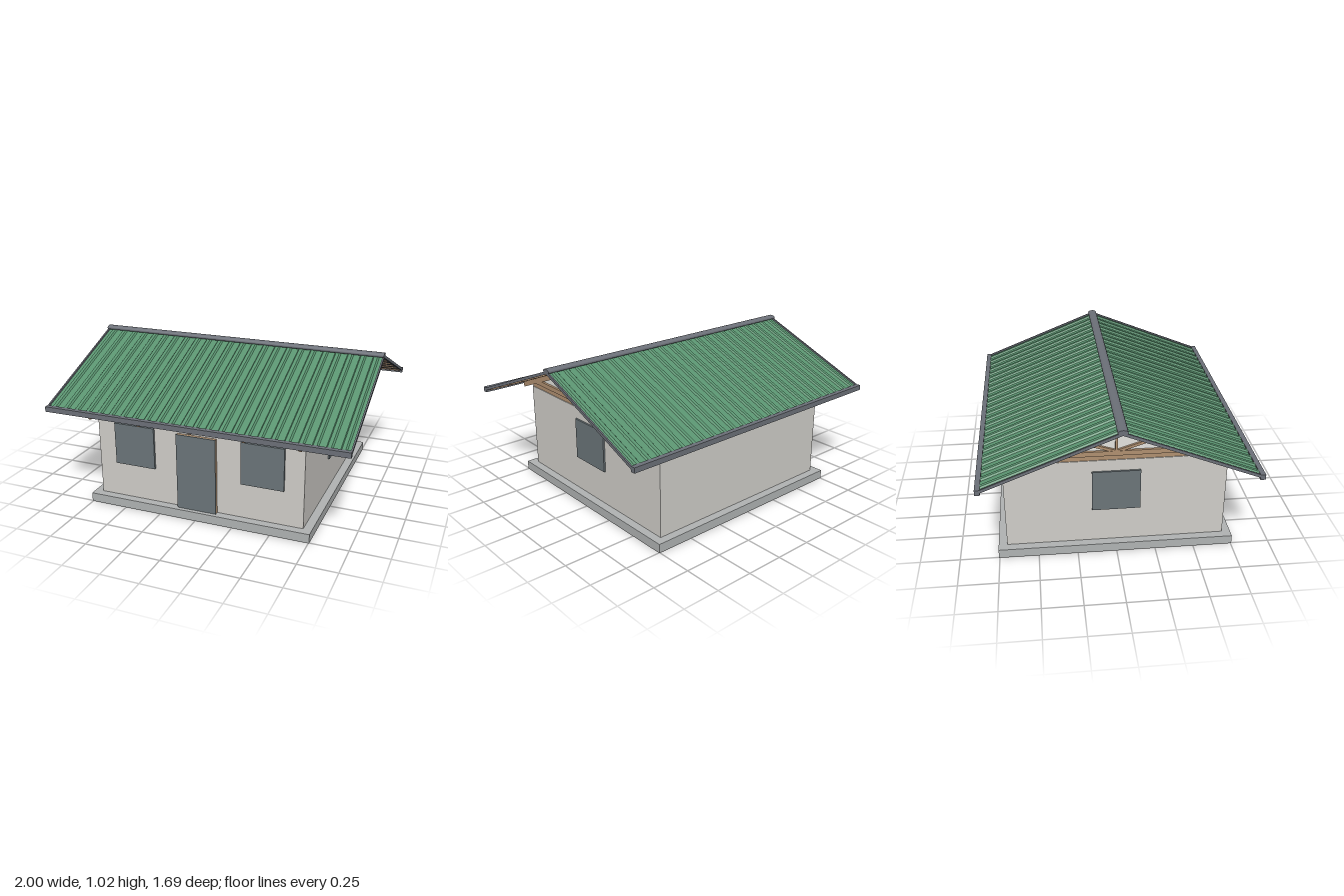
import * as THREE from 'three';

const mat = (name, color) => {
  const m = new THREE.MeshStandardMaterial({ color });
  m.name = name;
  return m;
};

export function createModel() {
  const house = new THREE.Group();
  house.name = 'house';
  const wall = mat('wall render', 0xd0cec9);
  const gableWhite = mat('gable board', 0xe4e3de);
  const concrete = mat('concrete', 0xb0b3b3);
  const wood = mat('timber', 0xb09070);
  const green = mat('green sheet', 0x5a9470);
  const trim = mat('grey trim', 0x6c7078);
  const glass = mat('slate panel', 0x6b7579);
  const underside = mat('dark underlay', 0x3c3d41);

  const add = (parent, name, geo, material) => {
    const mesh = new THREE.Mesh(geo, material);
    mesh.name = name;
    parent.add(mesh);
    return mesh;
  };
  // Box given by its minimum and maximum corners
  const box = (parent, name, material, [x0, y0, z0], [x1, y1, z1]) =>
    add(parent, name, new THREE.BoxGeometry(x1 - x0, y1 - y0, z1 - z0)
      .translate((x0 + x1) / 2, (y0 + y1) / 2, (z0 + z1) / 2), material);
  // Outline in the (z, y) plane, given thickness along x, centred on x = 0
  const profile = (points, depth) => new THREE.ExtrudeGeometry(
    new THREE.Shape(points.map(([z, y]) => new THREE.Vector2(z, y))),
    { depth, bevelEnabled: false }).translate(0, 0, -depth / 2).rotateY(-Math.PI / 2);

  // Slab, walls and wall plate
  box(house, 'slab', concrete, [-0.755, 0, -0.755], [0.755, 0.06, 0.755]);
  box(house, 'walls', wall, [-0.7, 0.06, -0.7], [0.7, 0.65, 0.7]);
  box(house, 'wallPlate', wood, [-0.695, 0.65, -0.695], [0.695, 0.682, 0.695]);

  // Door: timber frame with a slate leaf
  box(house, 'doorFrame', wood, [-0.132, 0.06, 0.7], [0.132, 0.566, 0.721]);
  box(house, 'doorLeaf', glass, [-0.133, 0.06, 0.721], [0.133, 0.568, 0.728]);

  // Windows at the front and on both gable walls
  for (const s of [-1, 1]) {
    box(house, 'frontWindow', glass, [s * 0.435 - 0.14, 0.295, 0.7], [s * 0.435 + 0.14, 0.575, 0.715]);
    box(house, 'sideWindow', glass, [s * 0.705 - 0.007, 0.295, -0.153], [s * 0.705 + 0.007, 0.573, 0.153]);
  }

  // Roof trusses
  const strut = (parent, name, [z0, y0], [z1, y1], w, d) => {
    const m = add(parent, name, new THREE.BoxGeometry(d, w, Math.hypot(z1 - z0, y1 - y0)), wood);
    m.position.set(0, (y0 + y1) / 2, (z0 + z1) / 2);
    m.rotation.x = -Math.atan2(y1 - y0, z1 - z0);
  };
  const rafters = profile([[0, 0.977], [0.82, 0.649], [0.807, 0.617], [0, 0.94],
    [-0.807, 0.617], [-0.82, 0.649]], 0.02);
  const chord = profile([[-0.69, 0.682], [0.69, 0.682], [0.61, 0.714], [-0.61, 0.714]], 0.019);
  for (const x of [-0.695, -0.35, 0, 0.35, 0.695]) {
    const truss = new THREE.Group();
    truss.name = 'truss';
    truss.position.x = x;
    add(truss, 'rafters', rafters, wood);
    add(truss, 'bottomChord', chord, wood);
    strut(truss, 'kingPost', [0, 0.7], [0, 0.95], 0.015, 0.018);
    for (const s of [-1, 1]) strut(truss, 'web', [0, 0.708], [s * 0.335, 0.818], 0.018, 0.016);
    house.add(truss);
  }

  // Gable boards behind the end trusses
  const gable = profile([[-0.69, 0.682], [0.69, 0.682], [0, 0.958]], 0.01);
  for (const s of [-1, 1]) add(house, 'gableBoard', gable, gableWhite).position.x = s * 0.683;

  // Ribbed sheet outline across the roof
  const ribs = 24, pitch = 1.98 / ribs;
  const outline = new THREE.Shape();
  outline.moveTo(-0.99, -0.012);
  outline.lineTo(0.99, -0.012);
  outline.lineTo(0.99, -0.009);
  for (let i = ribs - 1; i >= 0; i--) {
    const c = -0.99 + (i + 0.5) * pitch;
    outline.lineTo(c + 0.02, -0.009);
    outline.lineTo(c + 0.011, 0.001);
    outline.lineTo(c - 0.011, 0.001);
    outline.lineTo(c - 0.02, -0.009);
  }
  outline.lineTo(-0.99, -0.009);

  // Two mirrored roof slopes
  const angle = Math.atan(0.4), length = 0.825 / Math.cos(angle);
  const sheet = new THREE.ExtrudeGeometry(outline, { depth: length, bevelEnabled: false });
  for (const turn of [0, Math.PI]) {
    const side = new THREE.Group();
    side.name = turn ? 'backRoof' : 'frontRoof';
    side.rotation.y = turn;
    const slope = new THREE.Group();
    slope.name = 'slope';
    slope.position.y = 1;
    slope.rotation.x = angle;
    add(slope, 'roofSheet', sheet, green);
    box(slope, 'underlay', underside, [-0.99, -0.016, 0], [0.99, -0.012, length]);
    for (let i = 0; i < 6; i++) {
      const z = 0.04 + i * 0.162;
      box(slope, 'purlin', wood, [-0.985, -0.023, z - 0.009], [0.985, -0.016, z + 0.009]);
    }
    for (const s of [-1, 1])
      box(slope, 'rakeTrim', trim, [s * 0.995 - 0.005, -0.017, 0], [s * 0.995 + 0.005, 0.002, length]);
    side.add(slope);
    box(side, 'eaveTrim', trim, [-1, 0.641, 0.815], [1, 0.675, 0.846]);
    house.add(side);
  }

  // Ridge cap
  const cap = add(house, 'ridgeCap', new THREE.CylinderGeometry(0.031, 0.031, 2, 12)
    .rotateZ(Math.PI / 2).scale(1, 0.5, 1), trim);
  cap.position.y = 1;
  return house;
}
